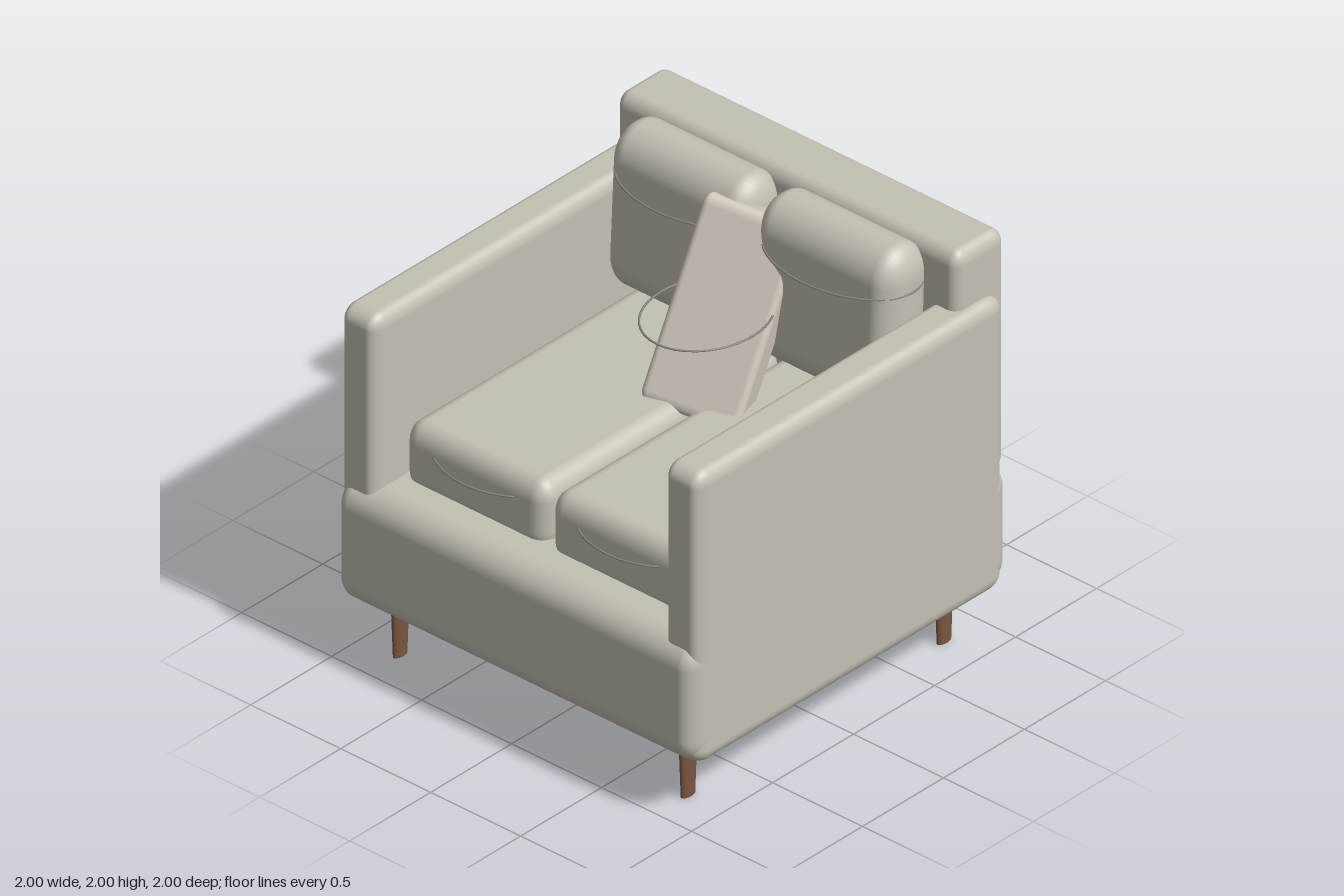
import * as THREE from 'three';
import { RoundedBoxGeometry } from 'three/addons/geometries/RoundedBoxGeometry.js';

const fabric = new THREE.MeshStandardMaterial({ color: 0xc4c0b3 });
const pillowFabric = new THREE.MeshStandardMaterial({ color: 0xd2cbbf });
const piping = new THREE.MeshStandardMaterial({ color: 0x8a877e });
const wood = new THREE.MeshStandardMaterial({ color: 0x7a5642 });

// Rounded block from [min, max] ranges, with its own edge radius along each axis
function softBlock(name, x, y, z, [rx, ry, rz], material = fabric) {
  const size = [x, y, z].map(([a, b]) => b - a);
  const geo = new RoundedBoxGeometry(size[0] / rx, size[1] / ry, size[2] / rz, 5, 1);
  geo.scale(rx, ry, rz);
  const mesh = new THREE.Mesh(geo, material);
  mesh.name = name;
  mesh.position.set((x[0] + x[1]) / 2, (y[0] + y[1]) / 2, (z[0] + z[1]) / 2);
  return mesh;
}

// Thin horizontal loop of piping
function loop(name, x, y, z, rx, rz) {
  const points = [];
  for (let i = 0; i < 20; i++) {
    const a = (i / 20) * Math.PI * 2;
    points.push(new THREE.Vector3(rx * Math.cos(a), 0, rz * Math.sin(a)));
  }
  const curve = new THREE.CatmullRomCurve3(points, true);
  const mesh = new THREE.Mesh(new THREE.TubeGeometry(curve, 40, 0.005, 6, true), piping);
  mesh.name = name;
  mesh.position.set(x, y, z);
  return mesh;
}

export function createModel() {
  const sofa = new THREE.Group();
  sofa.name = 'sofa';

  // Frame
  sofa.add(softBlock('base', [-1, 1], [0.28, 0.87], [-0.98, 1], [0.08, 0.12, 0.12]));
  sofa.add(softBlock('backrest', [-0.95, 0.95], [0.81, 1.99], [-1, -0.69], [0.05, 0.07, 0.06]));

  for (const s of [1, -1]) {
    const side = s > 0 ? 'left' : 'right';
    const span = (a, b) => (s > 0 ? [a, b] : [-b, -a]);

    sofa.add(softBlock(side + 'Arm', span(0.8, 1), [0.28, 1.71], [-0.94, 0.96], [0.05, 0.07, 0.08]));

    // Cushions with piping
    sofa.add(softBlock(side + 'SeatCushion', span(0.01, 0.8), [0.8, 1.145], [-0.7, 0.79], [0.08, 0.1, 0.08]));
    sofa.add(loop(side + 'SeatPiping', s * 0.4, 1.035, 0.455, 0.403, 0.403));
    const backCushion = softBlock(side + 'BackCushion', span(0.02, 0.795), [1.22, 2], [-0.73, -0.43], [0.1, 0.16, 0.145]);
    backCushion.rotation.x = -0.05;
    sofa.add(backCushion);
    sofa.add(loop(side + 'BackPiping', s * 0.41, 1.8, -0.59, 0.39, 0.25));

    // Flattened tapered legs
    for (const z of [0.8, -0.78]) {
      const leg = new THREE.Mesh(new THREE.CylinderGeometry(0.053, 0.04, 0.3, 20), wood);
      leg.name = side + (z > 0 ? 'FrontLeg' : 'BackLeg');
      leg.scale.x = 0.48;
      leg.position.set(s * 0.8, 0.15, z);
      sofa.add(leg);
    }
  }

  // Throw pillow leaning on the back cushions
  const pillow = softBlock('throwPillow', [-0.225, 0.225], [-0.46, 0.46], [-0.08, 0.08], [0.03, 0.05, 0.03], pillowFabric);
  pillow.position.set(-0.01, 1.48, -0.335);
  pillow.rotation.set(-0.47, 0.33, 0);
  sofa.add(pillow);
  sofa.add(loop('pillowPiping', 0.005, 1.54, -0.2, 0.255, 0.31));

  return sofa;
}
